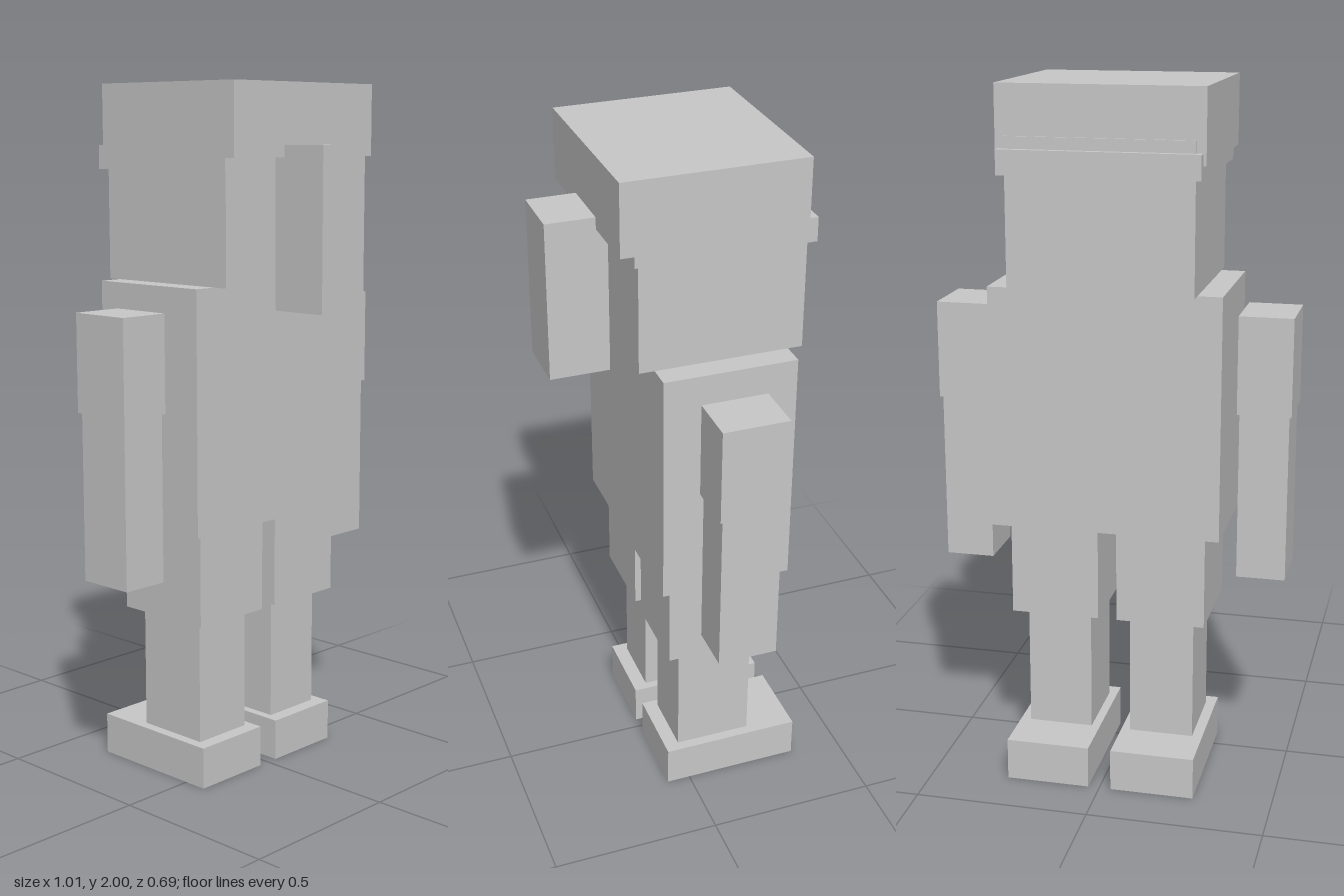
import * as THREE from 'three';

const grey = new THREE.MeshStandardMaterial({ color: 0xc8c8c8, side: THREE.DoubleSide });
grey.name = 'plain grey';

// Hollow block given by its extents along each axis, open at the bottom
function block(name, [x0, x1], [y0, y1], [z0, z1]) {
  const geometry = new THREE.BoxGeometry(x1 - x0, y1 - y0, z1 - z0);
  // The fourth face (indices 18 to 23) is the underside
  geometry.setIndex([...geometry.index.array].filter((_, i) => i < 18 || i > 23));
  geometry.clearGroups();
  const mesh = new THREE.Mesh(geometry, grey);
  mesh.position.set((x0 + x1) / 2, (y0 + y1) / 2, (z0 + z1) / 2);
  mesh.name = name;
  return mesh;
}

// Flat eye panel just in front of the face, facing -z
function eye(name, x) {
  const mesh = new THREE.Mesh(new THREE.PlaneGeometry(0.087, 0.11), grey);
  mesh.rotation.y = Math.PI;
  mesh.position.set(x, 1.67, -0.332);
  mesh.name = name;
  return mesh;
}

export function createModel() {
  const model = new THREE.Group();
  model.name = 'blockFigure';

  // Torso and head; head and band poke through the front of the cap
  model.add(
    block('torso', [-0.327, 0.327], [0.76, 1.45], [-0.276, 0.106]),
    block('head', [-0.258, 0.258], [1.45, 1.863], [-0.317, 0.15]),
    block('headBand', [-0.276, 0.276], [1.762, 1.83], [-0.337, 0.165]),
    block('cap', [-0.284, 0.284], [1.798, 2], [-0.31, 0.206]),
    block('ponytail', [-0.087, 0.087], [1.379, 1.831], [0.174, 0.345]),
  );

  for (const [side, s] of [['left', 1], ['right', -1]]) {
    const span = (a, b) => (s > 0 ? [a, b] : [-b, -a]);
    model.add(
      // Face
      eye(side + 'Eye', s * 0.1215),
      // Arm with a wider sleeve
      block(side + 'Sleeve', span(0.355, 0.507), [1.102, 1.38], [-0.18, 0.01]),
      block(side + 'Forearm', span(0.361, 0.5), [0.622, 1.102], [-0.171, 0.002]),
      // Leg and shoe
      block(side + 'Thigh', span(0.027, 0.282), [0.485, 0.76], [-0.24, 0.07]),
      block(side + 'Shin', span(0.058, 0.245), [0.122, 0.485], [-0.201, 0.027]),
      block(side + 'Shoe', span(0.033, 0.275), [0, 0.122], [-0.345, 0.07]),
    );
  }
  return model;
}
